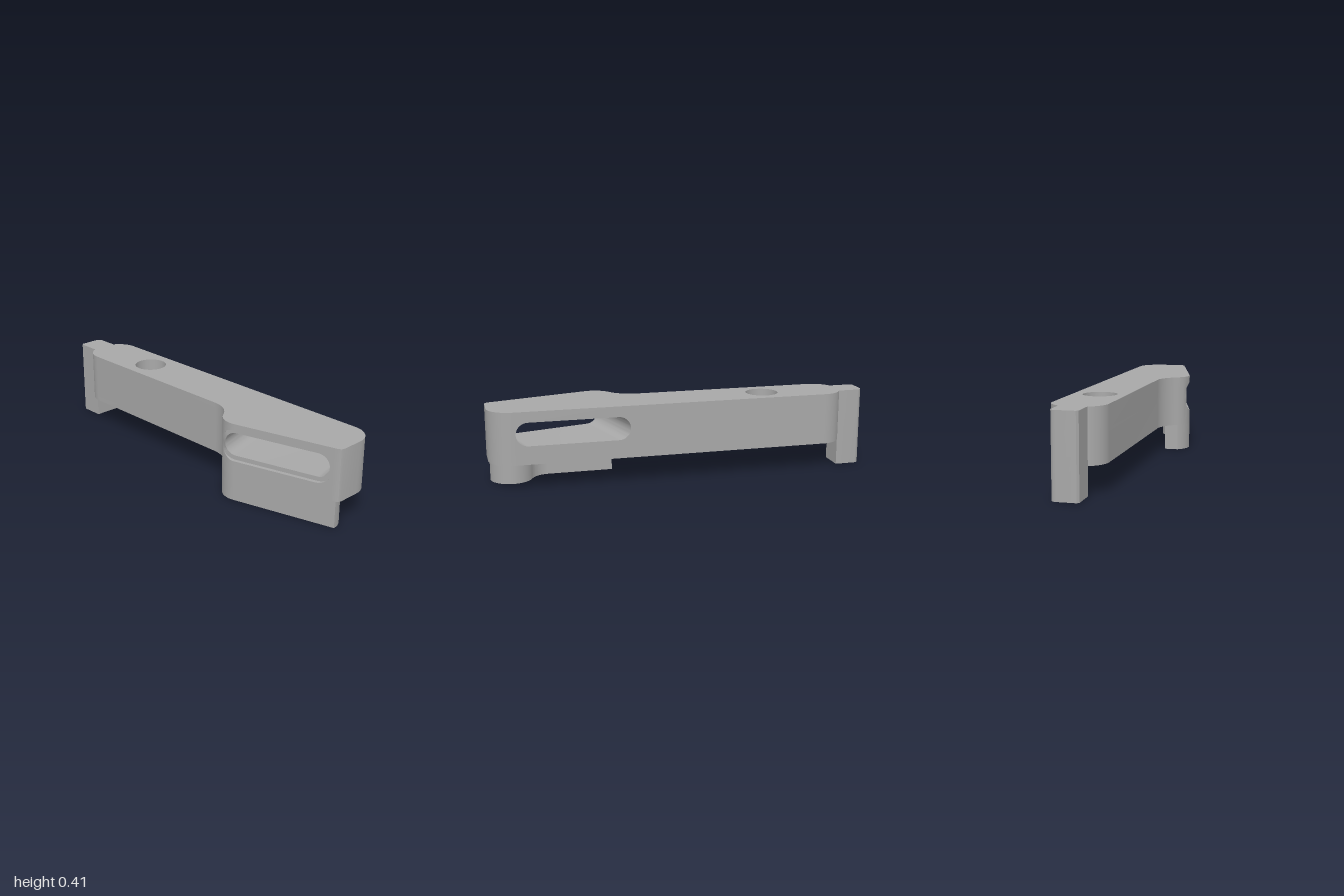
import * as THREE from 'three';
import { mergeGeometries, toCreasedNormals } from 'three/addons/utils/BufferGeometryUtils.js';

const TOP = 0.41, UNDER = 0.14;          // bar heights
const C = Math.cos(Math.PI / 12), S = Math.sin(Math.PI / 12); // slanted face is turned 15 degrees
const SLOT_Y = 0.295, SLOT_R = 0.06, RECESS_R = 0.0825;
const NOSE = { x: 0.43, z: 0.09, r: 0.11 };
const U0 = NOSE.x * C - NOSE.z * S, U1 = 0.83;  // slot end centres, along the slant
const NOSE_W = NOSE.x * S + NOSE.z * C;
const FACE_W = NOSE_W + NOSE.r, FLOOR_W = FACE_W - 0.02, BACK_Z = -0.2;
const N = 24;

// Plan arc as [x, z] points, angles in degrees
function arc(cx, cz, r, a0, a1, n = 14) {
  return Array.from({ length: n + 1 }, (_, i) => {
    const a = THREE.MathUtils.degToRad(a0 + (a1 - a0) * i / n);
    return [cx + r * Math.cos(a), cz + r * Math.sin(a)];
  });
}

// Quads between two matching rows of points
function strip(a, b) {
  const p = [];
  for (let i = 0; i < a.length - 1; i++) {
    p.push(...a[i], ...a[i + 1], ...b[i + 1], ...a[i], ...b[i + 1], ...b[i]);
  }
  const g = new THREE.BufferGeometry();
  g.setAttribute('position', new THREE.Float32BufferAttribute(p, 3));
  return g;
}

// Flat horizontal face with an optional round hole
function cap(pts, y, up, hole) {
  const k = up ? -1 : 1;
  const shape = new THREE.Shape(pts.map(([x, z]) => new THREE.Vector2(x, k * z)));
  if (hole) shape.holes.push(new THREE.Path(hole.map(([x, z]) => new THREE.Vector2(x, k * z))));
  const g = new THREE.ShapeGeometry(shape).rotateX(k * Math.PI / 2).translate(0, y, 0).toNonIndexed();
  g.deleteAttribute('uv');
  g.deleteAttribute('normal');
  return g;
}

// Upright wall round a plan outline; a third number opens a gap around mid
function walls(pts, y0, y1, mid = (y0 + y1) / 2) {
  const loop = [...pts, pts[0]];
  const row = f => loop.map(([x, z, h = 0]) => [x, f(h), z]);
  return [strip(row(() => y0), row(h => mid - h)), strip(row(h => mid + h), row(() => y1))];
}

function finish(parts) {
  return toCreasedNormals(mergeGeometries(parts), 0.5);
}

function prism(pts, y0, y1) {
  return finish([...walls(pts, y0, y1), cap(pts, y0, false), cap(pts, y1, true)]);
}

// Slot coordinates: u along the slant, w outwards through the face
const at = (u, w, y) => [u * C + w * S, y, w * C - u * S];
const frontW = u => u < U0 ? NOSE_W + Math.sqrt(NOSE.r ** 2 - (u - U0) ** 2) : FACE_W;
const floorW = u => Math.min(FLOOR_W, frontW(u));
const backW = u => (BACK_Z + u * S) / C;

// Stadium outline laid on the surface w = f(u)
function stadium(r, f) {
  const ring = [...arc(U0, SLOT_Y, r, 90, 270, N), ...arc(U1, SLOT_Y, r, -90, 90, N)]
    .map(([u, y]) => at(u, f(u), y));
  return [...ring, ring[0]];
}

// Wall points with the slot opening's half height
function opening(r, f) {
  return [...arc(U0, 0, r, 180, 90, N / 2), ...arc(U1, 0, r, 90, 0, N / 2)].map(([u, h]) => {
    const p = at(u, f(u), 0);
    return [p[0], p[2], Math.max(0, h)];
  });
}

function barGeometry() {
  const outline = [
    ...arc(-0.76, -0.05, 0.12, 151, 90),
    ...arc(0.2, 0.228, 0.158, -90, -31),
    ...arc(NOSE.x, NOSE.z, NOSE.r, 147, 126, 5),
    ...opening(RECESS_R, frontW),
    [0.985, 0.055], [0.995, 0.047], [1, 0.035],
    ...arc(0.88, -0.08, 0.12, 0, -90),
    ...opening(SLOT_R, backW).reverse(),
    ...arc(-0.76, -0.08, 0.12, -90, -151),
  ];
  // Vertical counterbored hole
  const circle = r => arc(-0.45, -0.065, r, 360, 0, 40);
  const ring = (r, y) => circle(r).map(([x, z]) => [x, y, z]);
  const wide = 0.085, narrow = 0.054, step = 0.28;
  return finish([
    ...walls(outline, UNDER, TOP, SLOT_Y),
    cap(outline, TOP, true, circle(wide).slice(0, -1)),
    cap(outline, UNDER, false, circle(narrow).slice(0, -1)),
    strip(ring(wide, TOP), ring(wide, step)),
    strip(ring(wide, step), ring(narrow, step)),
    strip(ring(narrow, step), ring(narrow, UNDER)),
    // Slot: recess wall, recess floor, tunnel
    strip(stadium(RECESS_R, frontW), stadium(RECESS_R, floorW)),
    strip(stadium(RECESS_R, floorW), stadium(SLOT_R, floorW)),
    strip(stadium(SLOT_R, floorW), stadium(SLOT_R, backW)),
  ]);
}

export function createModel() {
  const group = new THREE.Group();
  group.name = 'slottedLever';
  const grey = new THREE.MeshStandardMaterial({ color: 0xa8a8a8 });
  grey.name = 'grey';
  const add = (name, geometry) => {
    const mesh = new THREE.Mesh(geometry, grey);
    mesh.name = name;
    group.add(mesh);
  };

  add('bar', barGeometry());

  // Foot under the nose, with a round boss at its end
  add('foot', prism([
    [0.34, 0.08],
    ...arc(NOSE.x, NOSE.z, NOSE.r, 145, 75),
    [0.985, 0.055],
    ...arc(0.875, 0.058, 0.11, -2, -158.2, 24),
    ...arc(0.68, -0.02, 0.1, 21.8, 90),
  ], 0, UNDER));

  // Full-height tab at the far end
  add('endTab', prism([
    [-1, -0.01], [-0.99, 0], [-0.865, 0], [-0.865, -0.135],
    ...arc(-0.97, -0.105, 0.03, -90, -180, 8),
  ], 0, TOP));

  return group;
}
